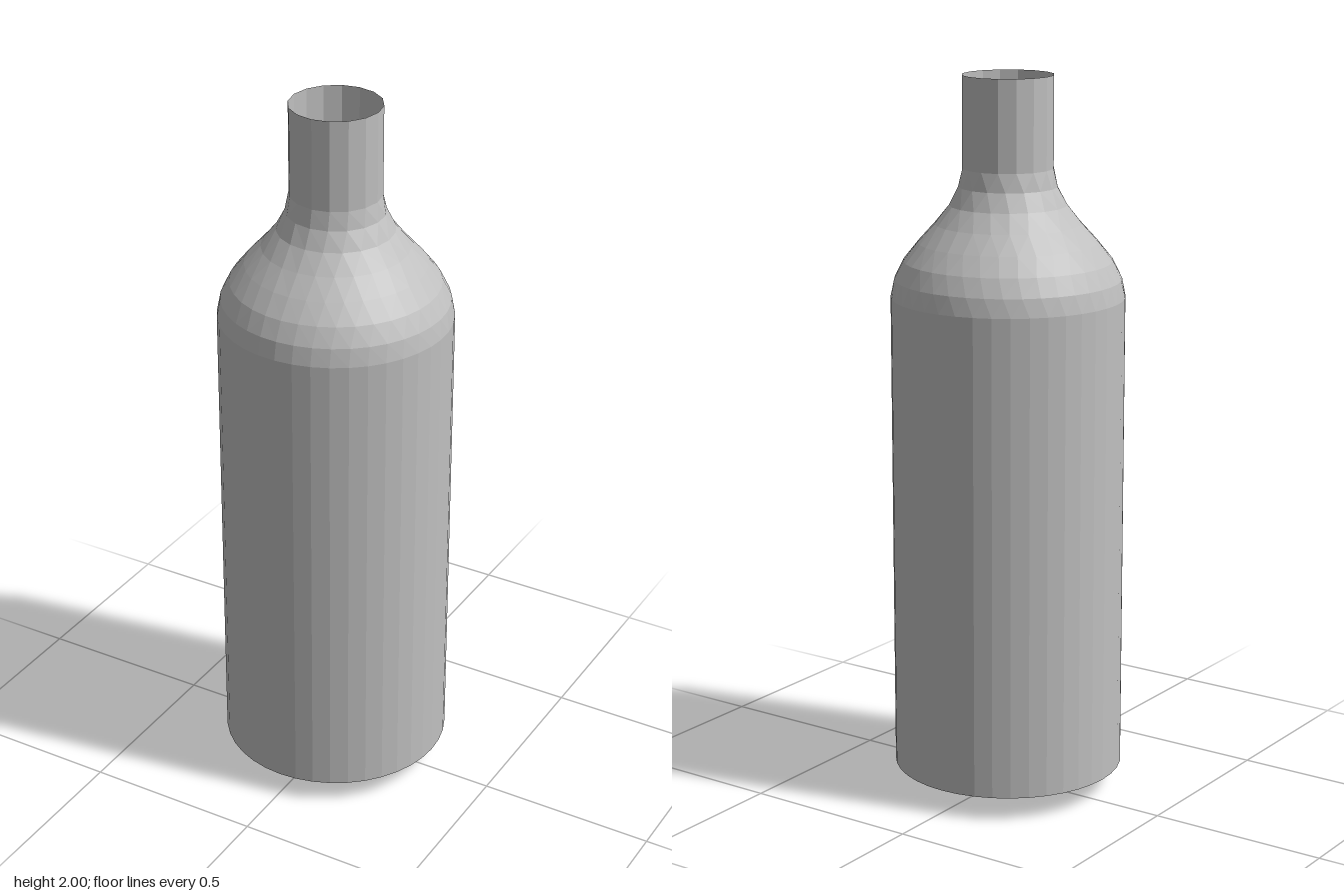
import * as THREE from 'three';

const STEP = 0.05; // target edge length around each ring

// A ring of points; wide rings get more sides than narrow ones.
function ring([radius, y]) {
  const sides = radius === 0 ? 1 : Math.max(8, Math.round((2 * Math.PI * radius) / STEP));
  const points = [];
  for (let i = 0; i <= sides; i++) {
    const a = (i / sides) * Math.PI * 2;
    points.push([radius * Math.sin(a), y, radius * Math.cos(a)]);
  }
  return points;
}

// Zip neighbouring rings together with triangles, even when side counts differ.
function ringSurface(profile) {
  const positions = [];
  const rings = profile.map(ring);
  for (let k = 0; k < rings.length - 1; k++) {
    const a = rings[k], b = rings[k + 1];
    const na = profile[k][0] === 0 ? 0 : a.length - 1;
    const nb = b.length - 1;
    let i = 0, j = 0;
    while (i < na || j < nb) {
      const stepA = j >= nb || (i < na && (i + 1) / na <= (j + 1) / nb);
      if (stepA) {
        positions.push(...a[i], ...a[i + 1], ...b[j]);
        i++;
      } else {
        positions.push(...a[i], ...b[j + 1], ...b[j]);
        j++;
      }
    }
  }
  const geometry = new THREE.BufferGeometry();
  geometry.setAttribute('position', new THREE.Float32BufferAttribute(positions, 3));
  geometry.computeVertexNormals();
  return geometry;
}

export function createModel() {
  const model = new THREE.Group();
  model.name = 'bottle';
  const grey = new THREE.MeshStandardMaterial({ color: 0xc0c0c0, flatShading: true, side: THREE.DoubleSide });
  grey.name = 'light grey';

  // [radius, height] profiles, from the bottom point up to the open rim
  const parts = {
    base: [[0, 0], [0.05, 0.017], [0.1, 0.031], [0.15, 0.042], [0.2, 0.051], [0.25, 0.059], [0.29, 0.064], [0.32, 0.065]],
    body: [[0.32, 0.065], [0.32, 1.4]],
    shoulder: [[0.32, 1.4], [0.31, 1.45], [0.285, 1.5], [0.245, 1.55], [0.2, 1.6], [0.16, 1.65], [0.135, 1.7], [0.125, 1.75]],
    neck: [[0.125, 1.75], [0.125, 2]],
  };
  for (const [name, profile] of Object.entries(parts)) {
    const mesh = new THREE.Mesh(ringSurface(profile), grey);
    mesh.name = name;
    model.add(mesh);
  }
  return model;
}
